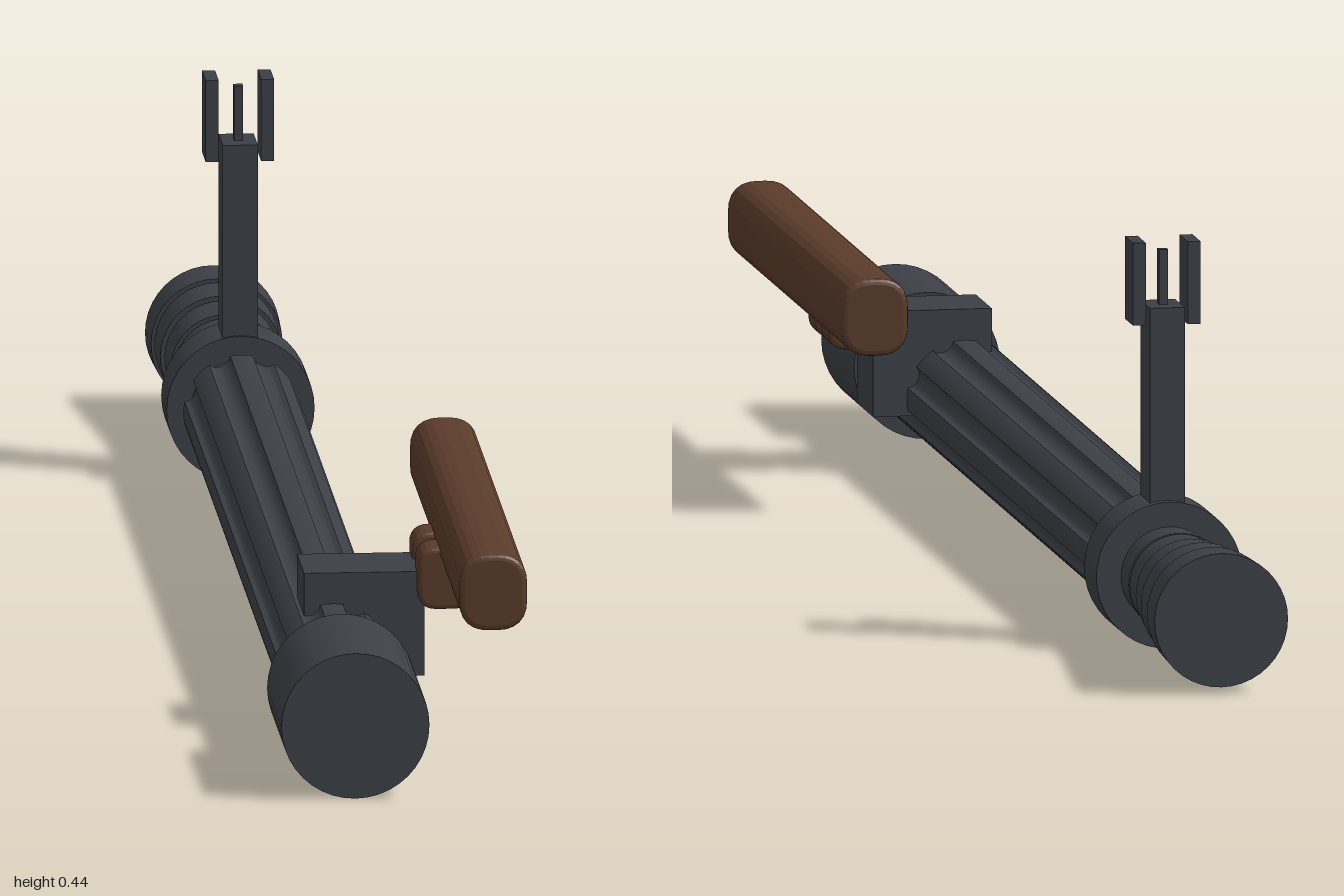
import * as THREE from 'three';

const AX = -0.055, AY = 0.08; // barrel axis

export function createModel() {
  const root = new THREE.Group();
  root.name = 'barrelAssembly';
  const metal = new THREE.MeshStandardMaterial({ color: 0x3c4046 });
  const wood = new THREE.MeshStandardMaterial({ color: 0x5a3b2a });

  function add(name, geometry, material, x, y, z, parent = root) {
    const mesh = new THREE.Mesh(geometry, material);
    mesh.name = name;
    mesh.position.set(x, y, z);
    parent.add(mesh);
    return mesh;
  }

  // Cylinder along z between two depths, with a radius at each end
  function tube(name, z0, z1, r0, r1 = r0) {
    const g = new THREE.CylinderGeometry(r1, r0, z1 - z0, 40);
    g.rotateX(Math.PI / 2);
    return add(name, g, metal, AX, AY, (z0 + z1) / 2);
  }

  // Box given by its limits
  function box(name, x0, x1, y0, y1, z0, z1, parent = root) {
    const g = new THREE.BoxGeometry(x1 - x0, y1 - y0, z1 - z0);
    return add(name, g, metal, (x0 + x1) / 2, (y0 + y1) / 2, (z0 + z1) / 2, parent);
  }

  // Rounded bar along z with softened ends, given by its limits
  function bar(name, x0, x1, y0, y1, z0, z1, r, bevel) {
    const w = (x1 - x0) / 2 - bevel, h = (y1 - y0) / 2 - bevel;
    const s = new THREE.Shape();
    s.moveTo(-w + r, -h);
    s.lineTo(w - r, -h);
    s.quadraticCurveTo(w, -h, w, -h + r);
    s.lineTo(w, h - r);
    s.quadraticCurveTo(w, h, w - r, h);
    s.lineTo(-w + r, h);
    s.quadraticCurveTo(-w, h, -w, h - r);
    s.lineTo(-w, -h + r);
    s.quadraticCurveTo(-w, -h, -w + r, -h);
    const depth = z1 - z0 - 2 * bevel;
    const g = new THREE.ExtrudeGeometry(s, {
      depth, bevelEnabled: true, bevelSize: bevel, bevelThickness: bevel,
      bevelSegments: 3, curveSegments: 6,
    });
    g.translate(0, 0, -depth / 2);
    return add(name, g, wood, (x0 + x1) / 2, (y0 + y1) / 2, (z0 + z1) / 2);
  }

  // Front collar and the sight ring
  tube('frontCollar', 0.8, 1, 0.08);
  tube('sightRing', -0.68, -0.605, 0.08);
  tube('barrelCore', -0.61, 0.81, 0.054);

  // Fluted barrel: eight ridges separated by rounded grooves
  const outline = [];
  for (let i = 0; i < 128; i++) {
    const a = (i / 128) * Math.PI * 2;
    const groove = Math.max(0, -Math.cos(8 * a));
    const r = 0.063 - 0.008 * Math.sqrt(groove);
    outline.push(new THREE.Vector2(Math.cos(a) * r, Math.sin(a) * r));
  }
  const fluted = new THREE.ExtrudeGeometry(new THREE.Shape(outline), {
    depth: 1.395, bevelEnabled: false,
  });
  add('flutedBarrel', fluted, metal, AX, AY, -0.59);

  // Stepped muzzle sections, widening toward the tip with thin gaps
  const radii = [0.054, 0.056, 0.061, 0.067, 0.072];
  radii.forEach((r, i) => {
    const z1 = -0.679 - i * 0.0648;
    tube('muzzleSection' + (i + 1), z1 - 0.059, z1, r + 0.001, r - 0.001);
  });

  // Upright sight with two guard ears around a pin
  const sight = new THREE.Group();
  sight.name = 'frontSight';
  root.add(sight);
  box('sightPost', AX - 0.019, AX + 0.019, 0.14, 0.37, -0.668, -0.609, sight);
  box('sightPin', AX - 0.005, AX + 0.005, 0.36, 0.43, -0.645, -0.633, sight);
  for (const side of [-1, 1]) {
    const x = AX + side * 0.03;
    box('sightEar', x - 0.007, x + 0.007, 0.351, 0.441, -0.664, -0.614, sight);
  }

  // Bracket, its two pegs and the carrying handle
  box('handleBracket', -0.085, 0.045, 0.062, 0.177, 0.572, 0.67);
  for (const z of [0.583, 0.662]) {
    bar('handlePeg', 0.037, 0.096, 0.138, 0.206, z - 0.025, z + 0.025, 0.015, 0.005);
  }
  bar('carryHandle', 0.06, 0.133, 0.176, 0.26, 0.27, 0.973, 0.026, 0.006);

  return root;
}
